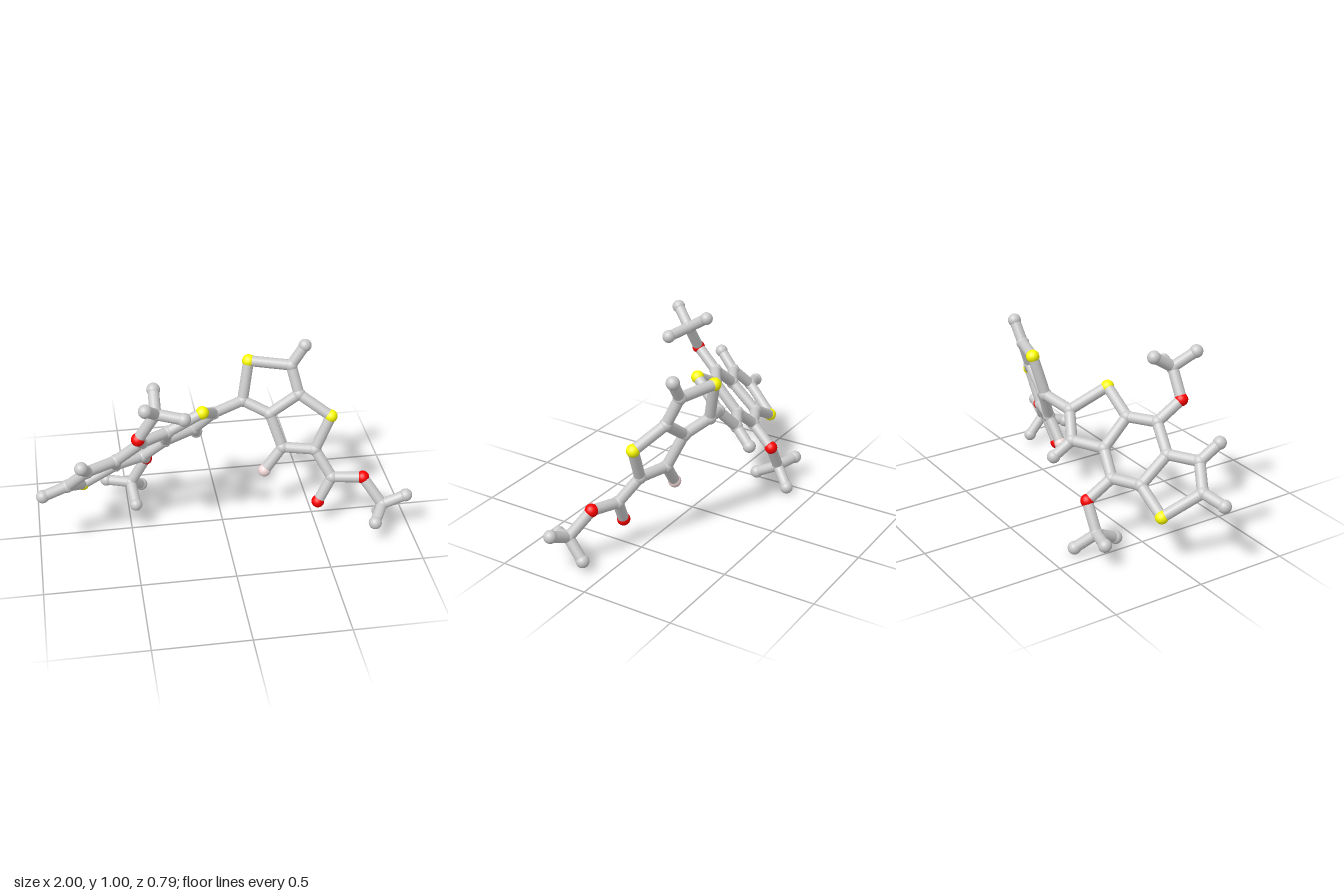
import * as THREE from 'three';

const ATOM_R = 0.035, BOND_R = 0.029;

const material = (color) => new THREE.MeshStandardMaterial({ color });
const grey = material(0xcccccc), yellow = material(0xffff00), red = material(0xff0000), pink = material(0xf2d9d9);
const KINDS = {
  C: ['carbonAtom', grey], H: ['hydrogenAtom', grey], S: ['sulfurAtom', yellow],
  O: ['oxygenAtom', red], F: ['fluorineAtom', pink],
};

const ballGeometry = new THREE.SphereGeometry(ATOM_R, 20, 14);
const UP = new THREE.Vector3(0, 1, 0);

function addAtom(group, kind, p) {
  const [name, mat] = KINDS[kind];
  const ball = new THREE.Mesh(ballGeometry, mat);
  ball.name = name;
  ball.position.copy(p);
  group.add(ball);
}

function addBond(group, a, b) {
  const dir = b.clone().sub(a);
  const stick = new THREE.Mesh(new THREE.CylinderGeometry(BOND_R, BOND_R, dir.length(), 18), grey);
  stick.name = 'bond';
  stick.position.copy(a).add(b).multiplyScalar(0.5);
  stick.quaternion.setFromUnitVectors(UP, dir.normalize());
  group.add(stick);
}

// Each part: atoms by key (first letter is the element) and chains of bonded keys
const PARTS = {
  fusedThreeRings: {
    atoms: {
      S1: [-0.75, 0.28, -0.063], C1: [-0.835, 0.4, 0.12], C2: [-0.73, 0.515, 0.175],
      C3: [-0.575, 0.512, 0.09], C4: [-0.57, 0.38, -0.066], C5: [-0.44, 0.632, 0.122],
      C6: [-0.295, 0.628, 0.035], C7: [-0.295, 0.485, -0.105], C8: [-0.418, 0.375, -0.138],
      S2: [-0.112, 0.73, 0.037], C9: [-0.028, 0.61, -0.143], C10: [-0.132, 0.488, -0.195],
      H1: [-0.965, 0.372, 0.155], H2: [-0.76, 0.603, 0.273], H3: [-0.104, 0.408, -0.29],
    },
    bonds: ['S1 C1 C2 C3 C4 S1', 'C3 C5 C6 C7 C8 C4', 'C6 S2 C9 C10 C7', 'C1 H1', 'C2 H2', 'C10 H3'],
  },
  upperMethoxy: {
    atoms: {
      O1: [-0.467, 0.735, 0.25], C11: [-0.375, 0.88, 0.257], H4: [-0.435, 0.964, 0.36],
      H5: [-0.372, 0.955, 0.142], H6: [-0.238, 0.862, 0.3],
    },
    bonds: ['C5 O1 C11', 'H4 C11 H5', 'C11 H6'],
  },
  lowerMethoxy: {
    atoms: {
      O2: [-0.39, 0.272, -0.268], C12: [-0.478, 0.122, -0.268], H7: [-0.414, 0.039, -0.36],
      H8: [-0.463, 0.056, -0.142], H9: [-0.612, 0.128, -0.305],
    },
    bonds: ['C8 O2 C12', 'H7 C12 H8', 'C12 H9'],
  },
  fusedTwoRings: {
    atoms: {
      C13: [0.138, 0.647, -0.19], S3: [0.177, 0.861, -0.24], C14: [0.395, 0.853, -0.173],
      C15: [0.43, 0.707, -0.113], C16: [0.275, 0.593, -0.123], S4: [0.59, 0.608, -0.023],
      C17: [0.505, 0.417, -0.003], C18: [0.335, 0.417, -0.052], F1: [0.237, 0.285, -0.038],
      H10: [0.468, 0.962, -0.18],
    },
    bonds: ['C9 C13 S3 C14 C15 C16 C13', 'C15 S4 C17 C18 C16', 'C18 F1', 'C14 H10'],
  },
  esterTail: {
    atoms: {
      C19: [0.585, 0.285, 0.08], O3: [0.51, 0.147, 0.101], O4: [0.745, 0.3, 0.129],
      C20: [0.84, 0.169, 0.208], H11: [0.962, 0.227, 0.225], H12: [0.777, 0.13, 0.319],
      H13: [0.847, 0.061, 0.12],
    },
    bonds: ['C17 C19 O4 C20', 'C19 O3', 'H11 C20 H12', 'C20 H13'],
  },
};

export function createModel() {
  const model = new THREE.Group();
  model.name = 'molecule';
  const points = {};
  for (const [name, part] of Object.entries(PARTS)) {
    const group = new THREE.Group();
    group.name = name;
    for (const [key, xyz] of Object.entries(part.atoms)) {
      points[key] = new THREE.Vector3(...xyz);
      addAtom(group, key[0], points[key]);
    }
    for (const chain of part.bonds) {
      const keys = chain.split(' ');
      for (let i = 1; i < keys.length; i++) addBond(group, points[keys[i - 1]], points[keys[i]]);
    }
    model.add(group);
  }
  return model;
}
